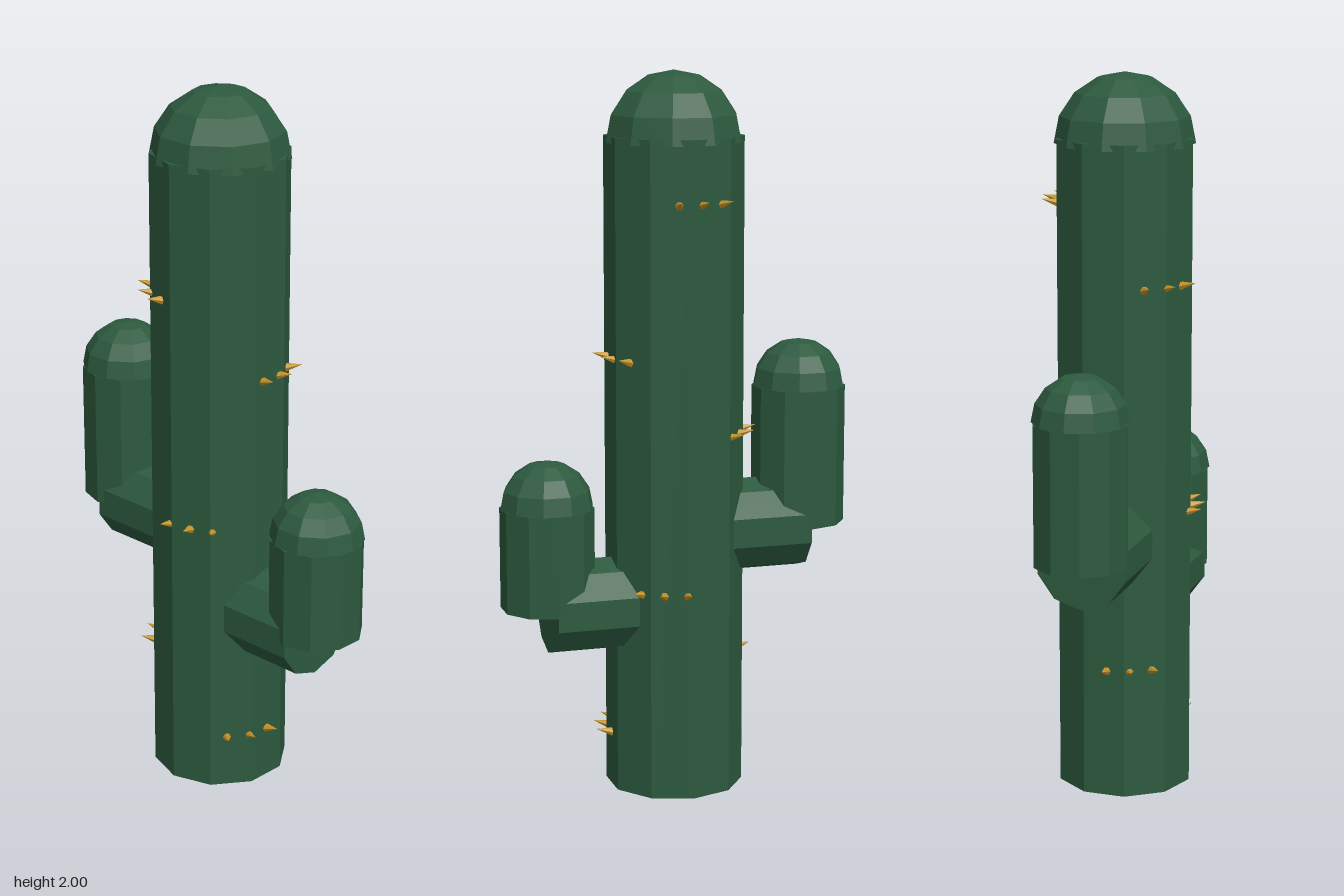
import * as THREE from 'three';

const SIDES = 10;

export function createModel() {
  const cactus = new THREE.Group();
  cactus.name = 'cactus';
  const green = new THREE.MeshStandardMaterial({ color: 0x2d5a3f, flatShading: true });
  const gold = new THREE.MeshStandardMaterial({ color: 0xc8962a, flatShading: true });

  const add = (parent, name, geometry, material) => {
    const mesh = new THREE.Mesh(geometry, material);
    mesh.name = name;
    parent.add(mesh);
    return mesh;
  };

  // Upright column closed by a faceted dome
  const addColumn = (parent, name, r, x, bottom, shoulder, top) => {
    const height = shoulder - bottom;
    add(parent, name, new THREE.CylinderGeometry(r, r, height, SIDES), green)
      .position.set(x, bottom + height / 2, 0);
    const dome = new THREE.SphereGeometry(r, SIDES, 4, 0, Math.PI * 2, 0, Math.PI / 2);
    add(parent, name + 'Dome', dome, green).position.set(x, top - r, 0);
  };

  addColumn(cactus, 'trunk', 0.192, 0, 0, 1.825, 2);

  // Arms: a horizontal stub out of the trunk, then an upright column
  const addArm = (name, side, y, top) => {
    const arm = new THREE.Group();
    arm.name = name;
    const r = 0.131, reach = 0.365;
    const stub = new THREE.CylinderGeometry(r, r, reach, SIDES)
      .rotateZ(Math.PI / 2).rotateX(Math.PI / 2);
    add(arm, name + 'Stub', stub, green).position.set(side * reach / 2, y, 0);
    addColumn(arm, name + 'Column', r, side * reach, y, top - r, top);
    cactus.add(arm);
  };
  addArm('leftArm', 1, 0.53, 0.945);
  addArm('rightArm', -1, 0.73, 1.25);

  // Spines: rows of three spiralling up the trunk, tilted slightly upward
  const spines = new THREE.Group();
  spines.name = 'spines';
  const spineGeometry = new THREE.ConeGeometry(0.015, 0.058, 6)
    .rotateZ(-Math.PI / 2 + 0.25);
  for (let row = 0; row < 8; row++) {
    for (let k = -1; k <= 1; k++) {
      const angle = THREE.MathUtils.degToRad(20 + row * 137.5 + k * 20);
      const spine = add(spines, 'spine', spineGeometry, gold);
      spine.position.set(0.2 * Math.cos(angle), 0.157 + row * 0.214, 0.2 * Math.sin(angle));
      spine.rotation.y = -angle;
    }
  }
  cactus.add(spines);

  return cactus;
}
